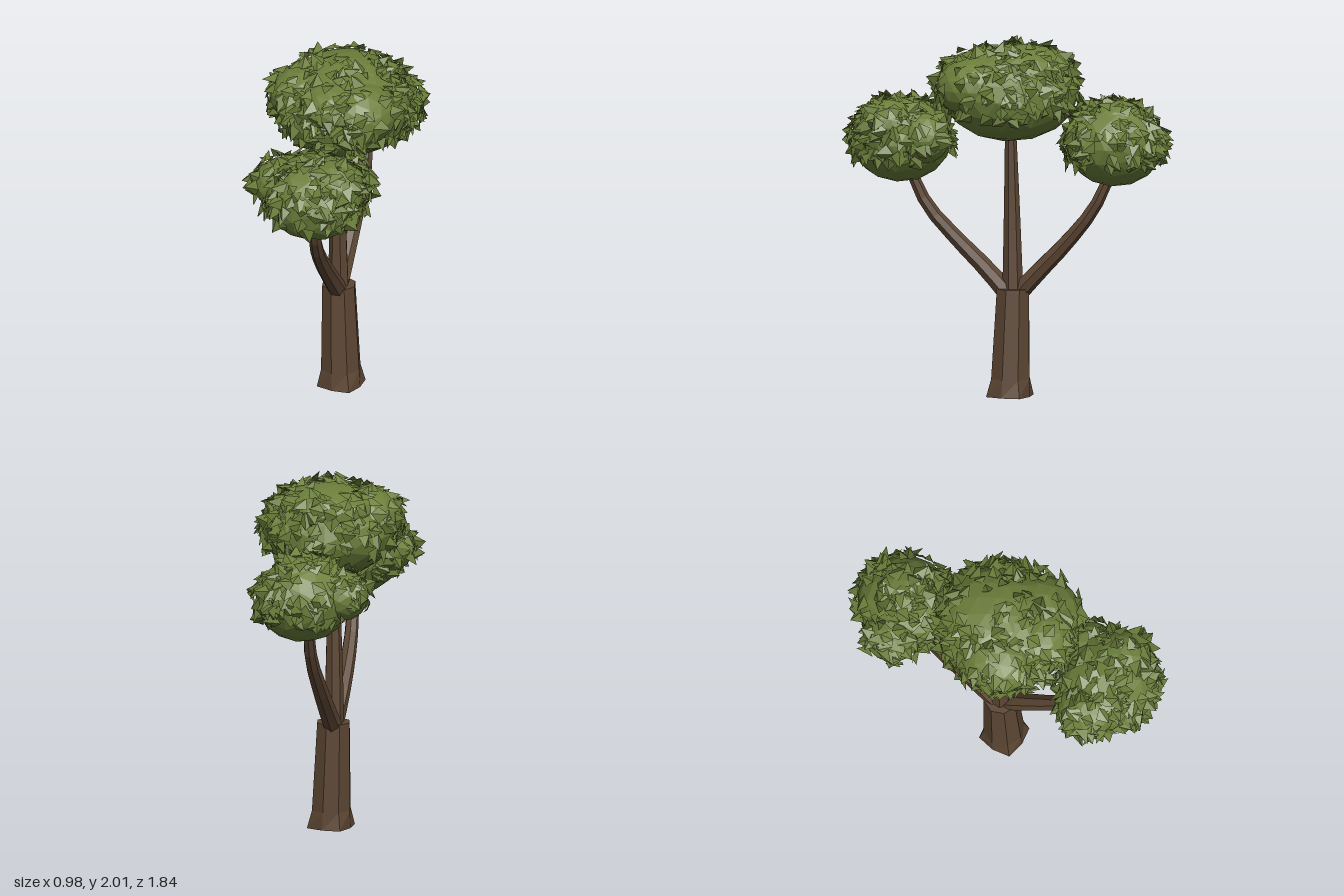
import * as THREE from 'three';
import { mergeGeometries } from 'three/addons/utils/BufferGeometryUtils.js';

const V = (x, y, z) => new THREE.Vector3(x, y, z);

function seeded(seed) {
  return () => {
    seed = (seed * 16807) % 2147483647;
    return seed / 2147483647;
  };
}

// Tapered limb that follows a smooth path
function limbGeometry(points, r0, r1, sides) {
  const curve = new THREE.CatmullRomCurve3(points);
  const steps = 8;
  const geo = new THREE.TubeGeometry(curve, steps, 1, sides, false);
  const pos = geo.attributes.position;
  const p = V(0, 0, 0);
  for (let i = 0; i < pos.count; i++) {
    const u = Math.floor(i / (sides + 1)) / steps;
    const c = curve.getPointAt(u);
    p.fromBufferAttribute(pos, i).sub(c).multiplyScalar(r0 + (r1 - r0) * u).add(c);
    pos.setXYZ(i, p.x, p.y, p.z);
  }
  return geo;
}

// Ellipsoid lobes: [centre, radii, leaf count]
function lobeGeometry([centre, radii]) {
  const geo = new THREE.IcosahedronGeometry(1, 2);
  geo.scale(radii.x, radii.y, radii.z);
  geo.translate(centre.x, centre.y, centre.z);
  return geo;
}

// Folded, mostly drooping leaves scattered on the upper part of the lobes
function leavesGeometry(lobes, random) {
  const verts = [];
  const inside = (p, [c, r]) =>
    ((p.x - c.x) / r.x) ** 2 + ((p.y - c.y) / r.y) ** 2 + ((p.z - c.z) / r.z) ** 2 < 0.98;
  for (const lobe of lobes) {
    const [centre, radii, count] = lobe;
    for (let i = 0; i < count; i++) {
      const h = -0.4 + 1.39 * random();
      const a = random() * Math.PI * 2;
      const k = Math.sqrt(1 - h * h);
      const unit = V(k * Math.cos(a), h, k * Math.sin(a));
      const base = unit.clone().multiply(radii).add(centre);
      const spin = -Math.PI / 2 + (random() - 0.5) * 4;
      const tilt = 0.15 + 0.5 * random();
      const size = 0.07 + 0.035 * random();
      if (lobes.some((other) => other !== lobe && inside(base, other))) continue;
      const n = unit.divide(radii).normalize();
      const t = V(-n.z, 0, n.x).normalize().applyAxisAngle(n, spin);
      if (t.y > 0.3) t.negate();
      const s = n.clone().cross(t);
      const at = (along, out, side) => base.clone()
        .addScaledVector(t, along * size).addScaledVector(n, out * size).addScaledVector(s, side * size);
      const root = at(-0.35, 0.12, 0);
      const tip = at(0.7 * Math.cos(tilt), Math.sin(tilt), 0);
      const left = at(0.15, 0, 0.48);
      const right = at(0.15, 0, -0.48);
      for (const v of [root, tip, left, root, right, tip]) verts.push(v.x, v.y, v.z);
    }
  }
  const geo = new THREE.BufferGeometry();
  geo.setAttribute('position', new THREE.Float32BufferAttribute(verts, 3));
  geo.computeVertexNormals();
  return geo;
}

export function createModel() {
  const tree = new THREE.Group();
  tree.name = 'tree';
  const bark = new THREE.MeshStandardMaterial({ color: 0x5c4633, flatShading: true });
  bark.name = 'bark brown';
  const foliage = new THREE.MeshStandardMaterial({ color: 0x6b7e3a, flatShading: true, side: THREE.DoubleSide });
  foliage.name = 'leaf green';

  const add = (parent, name, geo, mat) => {
    const mesh = new THREE.Mesh(geo, mat);
    mesh.name = name;
    parent.add(mesh);
  };

  // Trunk whose foot spreads at the corners
  const trunkGeo = new THREE.CylinderGeometry(0.096, 0.118, 0.6, 8, 6);
  const tp = trunkGeo.attributes.position;
  for (let i = 0; i < tp.count; i++) {
    const [x, y, z] = [tp.getX(i), tp.getY(i) + 0.3, tp.getZ(i)];
    const f = y / 0.6;
    const spread = y < 0.01 && Math.abs(x * z) > 0.001 ? 1.2 : 1;
    tp.setXYZ(i, x * spread + 0.01 - 0.02 * f, y, z * spread - 0.006 - 0.01 * f);
  }
  add(tree, 'trunk', trunkGeo, bark);

  // Three limbs
  add(tree, 'middleLimb', limbGeometry([V(-0.01, 0.56, -0.015), V(-0.01, 1, -0.01), V(0, 1.55, -0.005)], 0.06, 0.03, 7), bark);
  add(tree, 'frontLimb', limbGeometry([V(0, 0.56, 0), V(0.015, 0.7, 0.13), V(0.05, 0.88, 0.31), V(0.09, 1.05, 0.455),
    V(0.12, 1.22, 0.53), V(0.13, 1.32, 0.55)], 0.055, 0.029, 7), bark);
  add(tree, 'backLimb', limbGeometry([V(-0.02, 0.56, -0.03), V(-0.035, 0.69, -0.15), V(-0.06, 0.87, -0.32), V(-0.08, 1.06, -0.47),
    V(-0.1, 1.22, -0.545), V(-0.1, 1.32, -0.57)], 0.055, 0.029, 7), bark);

  // Crowns: one large lobe with smaller ones around it
  const crowns = {
    middleCrown: [
      [V(0.02, 1.69, -0.01), V(0.37, 0.26, 0.38), 310],
      [V(0, 1.83, -0.08), V(0.28, 0.135, 0.27), 140],
      [V(-0.17, 1.76, 0.06), V(0.2, 0.17, 0.23), 100],
      [V(0.2, 1.74, 0.12), V(0.2, 0.17, 0.22), 85],
      [V(0.06, 1.78, 0.2), V(0.2, 0.14, 0.17), 60],
    ],
    frontCrown: [
      [V(0.15, 1.42, 0.59), V(0.28, 0.235, 0.28), 210],
      [V(-0.05, 1.46, 0.59), V(0.16, 0.14, 0.17), 75],
      [V(0.28, 1.52, 0.6), V(0.16, 0.14, 0.16), 70],
      [V(0.26, 1.45, 0.4), V(0.14, 0.14, 0.14), 60],
    ],
    backCrown: [
      [V(-0.09, 1.43, -0.595), V(0.265, 0.235, 0.275), 210],
      [V(-0.3, 1.46, -0.55), V(0.15, 0.14, 0.16), 70],
      [V(-0.08, 1.55, -0.61), V(0.17, 0.12, 0.18), 55],
    ],
  };
  const random = seeded(4711);
  for (const [name, lobes] of Object.entries(crowns)) {
    const crown = new THREE.Group();
    crown.name = name;
    tree.add(crown);
    add(crown, name + 'Lobes', mergeGeometries(lobes.map(lobeGeometry)), foliage);
    add(crown, name + 'Leaves', leavesGeometry(lobes, random), foliage);
  }
  return tree;
}
